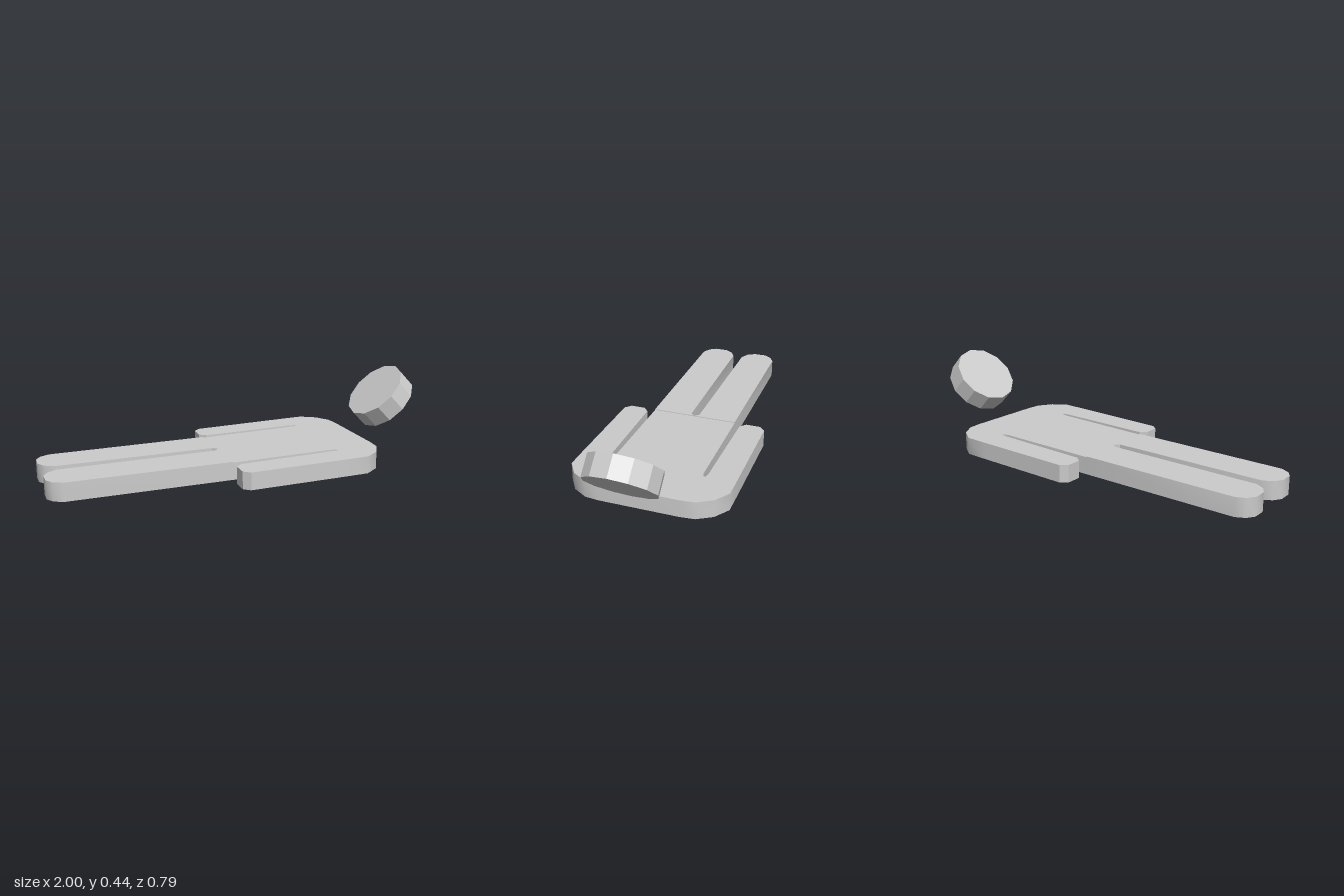
import * as THREE from 'three';
import { toCreasedNormals } from 'three/addons/utils/BufferGeometryUtils.js';

const HIP_X = -0.11;
const MID_Z = -0.004;

// Mirrors a half outline of [x, side] points and extrudes it upward into a slab.
function slab(name, half, height, material) {
  const outline = [...half, ...half.map(([x, s]) => [x, -s]).reverse()];
  const shape = new THREE.Shape(outline.map(([x, s]) => new THREE.Vector2(x, s)));
  const geometry = new THREE.ExtrudeGeometry(shape, { depth: height, bevelEnabled: false });
  geometry.rotateX(-Math.PI / 2);
  const mesh = new THREE.Mesh(toCreasedNormals(geometry, 0.7), material);
  mesh.name = name;
  return mesh;
}

export function createModel() {
  const model = new THREE.Group();
  model.name = 'lyingFigure';
  const grey = new THREE.MeshStandardMaterial({ color: 0xcccccc });

  // Two legs with rounded feet, separated by a narrow slit
  const legs = slab('legs', [
    [HIP_X, 0.002], [-0.13, 0.022], [-0.93, 0.027], [-0.975, 0.052], [-1, 0.092],
    [-1, 0.158], [-0.975, 0.196], [-0.93, 0.219], [HIP_X, 0.223],
  ], 0.093, grey);
  legs.position.z = MID_Z;

  // Torso with arms at its sides, raised very slightly toward the shoulders;
  // its outline is measured from the hip line
  const torso = slab('torsoAndArms', [
    [HIP_X, 0.223], [0.42, 0.228], [0.445, 0.234], [0.445, 0.246], [0.42, 0.251],
    [-0.08, 0.257], [-0.112, 0.285], [-0.112, 0.36], [-0.08, 0.389],
    [0.42, 0.394], [0.545, 0.394], [0.62, 0.344], [0.665, 0.27], [0.672, 0.2],
  ].map(([x, s]) => [x - HIP_X, s]), 0.089, grey);
  torso.position.set(HIP_X, 0, MID_Z);
  torso.rotation.z = 0.011;

  // Head: a tilted twelve-sided disc floating past the shoulders
  const headGeometry = new THREE.CylinderGeometry(0.172, 0.172, 0.107, 12);
  const head = new THREE.Mesh(headGeometry, new THREE.MeshStandardMaterial({ color: 0xcccccc, flatShading: true }));
  head.name = 'head';
  head.position.set(0.839, 0.286, -0.012);
  head.rotation.z = 0.77;

  model.add(legs, torso, head);
  return model;
}
